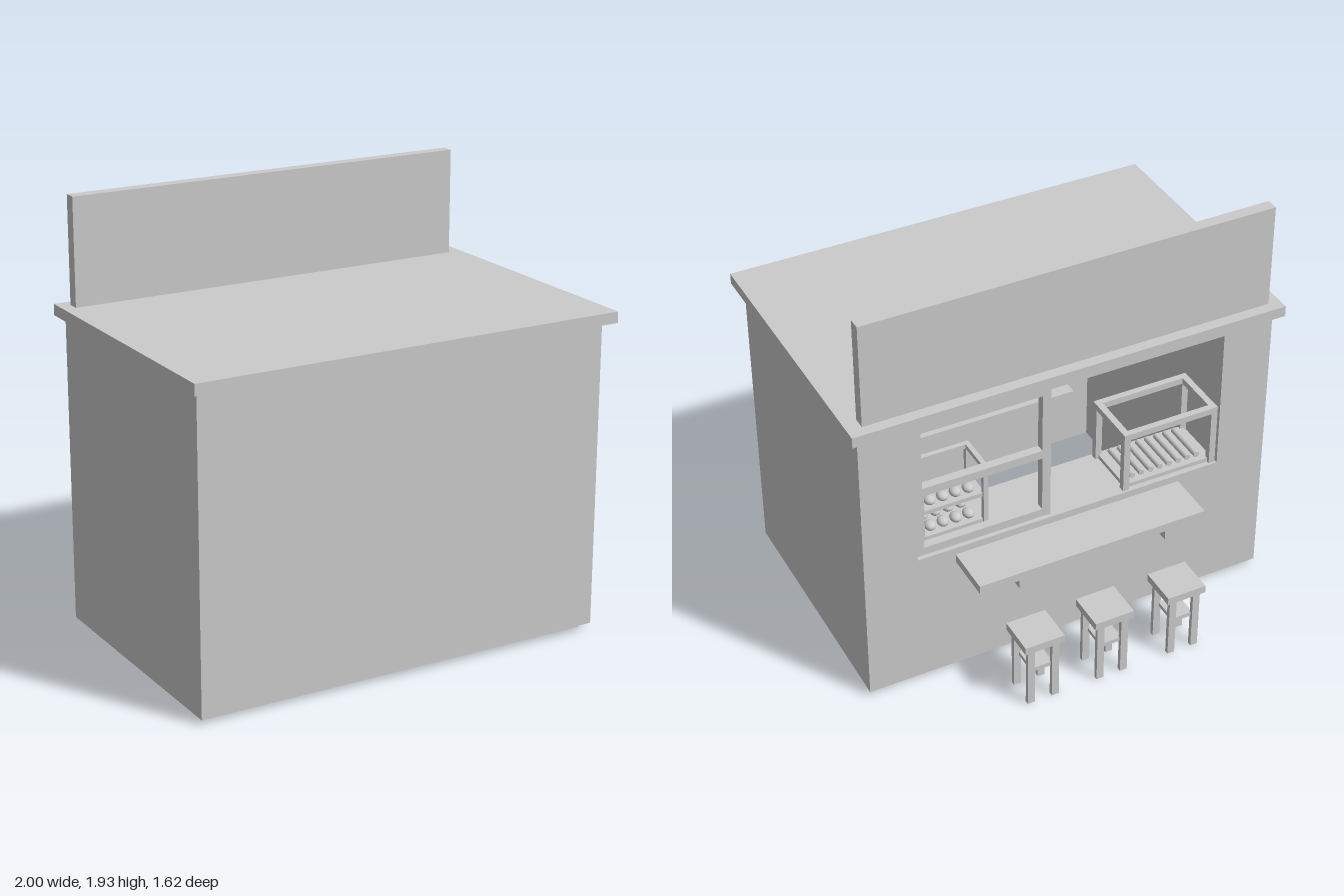
import * as THREE from 'three';

const grey = new THREE.MeshStandardMaterial({ color: 0xcccccc, flatShading: true });
const smooth = new THREE.MeshStandardMaterial({ color: 0xcccccc });

// Box given by its limits on each axis
function box(parent, name, x0, x1, y0, y1, z0, z1) {
  const mesh = new THREE.Mesh(new THREE.BoxGeometry(x1 - x0, y1 - y0, z1 - z0), grey);
  mesh.position.set((x0 + x1) / 2, (y0 + y1) / 2, (z0 + z1) / 2);
  mesh.name = name;
  parent.add(mesh);
  return mesh;
}

function group(parent, name) {
  const g = new THREE.Group();
  g.name = name;
  parent.add(g);
  return g;
}

// Open case: four posts with a rail ring at the top and a tray at the bottom
function displayCase(parent, name, x0, x1, y0, y1, z0, z1, t) {
  const g = group(parent, name);
  for (const x of [x0, x1 - t])
    for (const z of [z0, z1 - t]) box(g, 'casePost', x, x + t, y0, y1 - t, z, z + t);
  for (const z of [z0, z1 - t]) box(g, 'caseLongRail', x0, x1, y1 - t, y1, z, z + t);
  for (const x of [x0, x1 - t]) box(g, 'caseShortRail', x, x + t, y1 - t, y1, z0 + t, z1 - t);
  box(g, 'caseTray', x0 + t / 2, x1 - t / 2, y0, y0 + 0.02, z0 + t / 2, z1 - t / 2);
  return g;
}

function stool(parent, cx, cz) {
  const g = group(parent, 'stool');
  box(g, 'seat', -0.093, 0.093, 0.303, 0.34, -0.09, 0.09);
  for (const x of [-0.058, 0.058])
    for (const z of [-0.066, 0.066]) box(g, 'stoolLeg', x - 0.017, x + 0.017, 0, 0.303, z - 0.01, z + 0.01);
  box(g, 'stoolShelf', -0.05, 0.05, 0.165, 0.185, -0.062, 0.062);
  g.position.set(cx, 0, cz);
}

export function createModel() {
  const model = new THREE.Group();
  model.name = 'foodKiosk';

  // Hollow body: thick sides, sill block under the serving hatch, thin far panel
  const body = group(model, 'body');
  box(body, 'leftWall', 0.715, 0.96, 0.02, 1.4, -0.44, 0.755);
  box(body, 'rightWall', -0.97, -0.735, 0.02, 1.4, -0.44, 0.755);
  box(body, 'sillBlock', -0.735, 0.715, 0.02, 0.67, -0.44, -0.14);
  box(body, 'ceiling', -0.735, 0.715, 1.35, 1.4, -0.44, 0.755);
  box(body, 'rearPanel', -0.97, 0.89, 0.02, 1.4, 0.745, 0.765);

  // Roof slab and sign board
  box(model, 'roof', -1, 1, 1.4, 1.45, -0.49, 0.81);
  box(model, 'signBoard', -0.945, 0.935, 1.45, 1.93, -0.44, -0.385);

  // Window frame filling one half of the hatch
  const frame = group(model, 'windowFrame');
  for (const x of [0.08, 0.675]) box(frame, 'framePost', x, x + 0.04, 0.67, 1.35, -0.42, -0.38);
  for (const y of [0.67, 0.985, 1.31]) box(frame, 'frameRail', 0.12, 0.675, y, y + 0.04, -0.42, -0.38);

  // Outside counter on two brackets
  box(model, 'counter', -0.54, 0.54, 0.595, 0.635, -0.67, -0.44);
  for (const x of [-0.38, 0.32]) box(model, 'counterBracket', x - 0.035, x + 0.035, 0.55, 0.595, -0.67, -0.44);

  // Case with a grill of rollers
  const grill = displayCase(model, 'grillCase', -0.73, -0.27, 0.67, 0.97, -0.43, -0.15, 0.03);
  const roller = new THREE.CylinderGeometry(0.014, 0.014, 0.2, 10).rotateX(Math.PI / 2);
  for (let i = 0; i < 8; i++) {
    const m = new THREE.Mesh(roller, smooth);
    m.name = 'roller';
    m.position.set(-0.66 + i * 0.046, 0.704, -0.29);
    grill.add(m);
  }

  // Two-level case of buns
  const buns = displayCase(model, 'bunCase', 0.34, 0.66, 0.67, 0.98, -0.35, -0.16, 0.022);
  box(buns, 'caseShelf', 0.351, 0.649, 0.81, 0.83, -0.339, -0.171);
  const bun = new THREE.SphereGeometry(0.026, 12, 8).scale(1, 0.8, 1.2);
  for (const y of [0.708, 0.848])
    for (const z of [-0.295, -0.215])
      for (let i = 0; i < 4; i++) {
        const m = new THREE.Mesh(bun, smooth);
        m.name = 'bun';
        m.position.set(0.41 + i * 0.06, y, z);
        buns.add(m);
      }

  // Inner worktop with an appliance on it
  box(model, 'worktop', -0.5, 0.5, 0.505, 0.55, 0.45, 0.745);
  box(model, 'appliance', -0.3, 0.19, 0.55, 0.775, 0.5, 0.74);

  // Row of stools
  for (const x of [-0.385, -0.03, 0.305]) stool(model, x, -0.719);

  return model;
}
